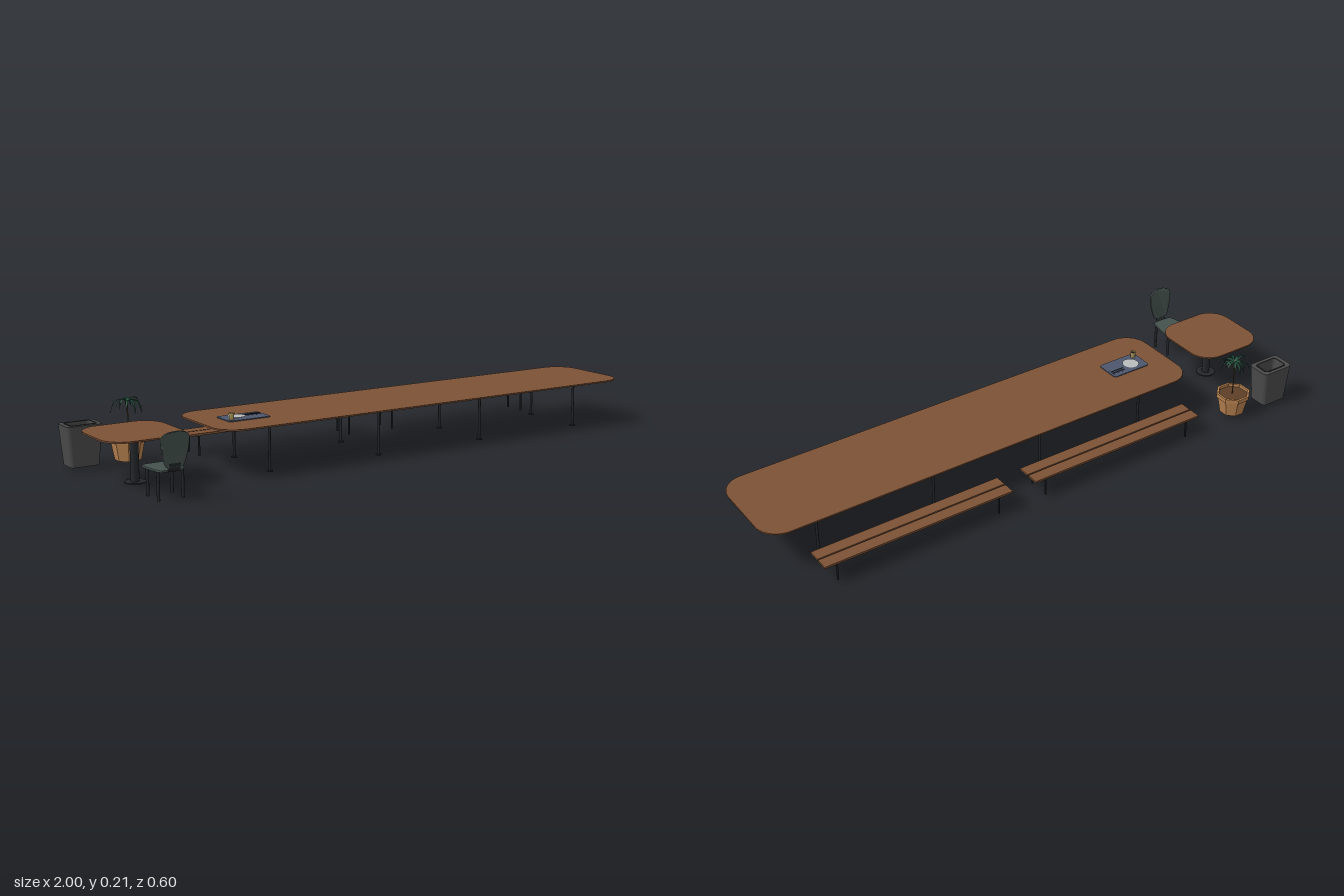
import * as THREE from 'three';

const mat = (color, opts = {}) => {
  const m = new THREE.MeshStandardMaterial({ color, ...opts });
  return m;
};
const wood = mat(0x7d5236);
const metal = mat(0x23272a);
const pad = mat(0x45524e);
const binGrey = mat(0x4a4a4a);
const binDark = mat(0x2a2a2a);
const clay = mat(0xb98350, { flatShading: true, side: THREE.DoubleSide });
const soil = mat(0x5e3f26);
const leafGreen = mat(0x1f4a38, { side: THREE.DoubleSide });
const trayBlue = mat(0x4c566c);
const china = mat(0xb9bcbd);
const mustard = mat(0xb0a060, { side: THREE.DoubleSide });

function add(parent, name, geo, material, x = 0, y = 0, z = 0) {
  const mesh = new THREE.Mesh(geo, material);
  mesh.name = name;
  mesh.position.set(x, y, z);
  parent.add(mesh);
  return mesh;
}
const box = (w, h, d) => new THREE.BoxGeometry(w, h, d);
const rod = (r, h, n = 12, r2 = r) => new THREE.CylinderGeometry(r, r2, h, n);

function roundRect(w, d, r, Type = THREE.Shape) {
  const s = new Type(), a = w / 2 - r, b = d / 2 - r;
  s.absarc(a, b, r, 0, Math.PI / 2);
  s.absarc(-a, b, r, Math.PI / 2, Math.PI);
  s.absarc(-a, -b, r, Math.PI, Math.PI * 1.5);
  s.absarc(a, -b, r, Math.PI * 1.5, Math.PI * 2);
  s.closePath();
  return s;
}

// Horizontal slab from a shape, rising from y = 0
function slab(shape, h, curveSegments = 10) {
  const g = new THREE.ExtrudeGeometry(shape, { depth: h, bevelEnabled: false, curveSegments });
  return g.rotateX(-Math.PI / 2);
}

// Shift or scale every vertex by a rule
function warp(g, rule) {
  const p = g.attributes.position, v = new THREE.Vector3();
  for (let i = 0; i < p.count; i++) {
    rule(v.fromBufferAttribute(p, i));
    p.setXYZ(i, v.x, v.y, v.z);
  }
  g.computeVertexNormals();
  return g;
}

function longTable() {
  const g = new THREE.Group();
  g.name = 'longTable';
  add(g, 'longTableTop', slab(roundRect(1.636, 0.341, 0.08), 0.005), wood, 0.178, 0.155, 0.001);
  for (const x of [-0.45, -0.035, 0.383, 0.805]) {
    for (const z of [-0.114, 0.117]) {
      add(g, 'longTableLeg', rod(0.0045, 0.153), metal, x, 0.0785, z);
      add(g, 'longTableFoot', rod(0.0105, 0.004, 16), metal, x, 0.002, z);
    }
  }
  return g;
}

function smallTable() {
  const g = new THREE.Group();
  g.name = 'smallTable';
  add(g, 'smallTableTop', slab(roundRect(0.27, 0.267, 0.075), 0.005), wood, -0.865, 0.155, 0.004);
  add(g, 'pedestal', rod(0.0135, 0.153, 16), metal, -0.865, 0.0785, 0.01);
  add(g, 'pedestalFoot', rod(0.034, 0.004, 24), metal, -0.865, 0.002, 0.01);
  return g;
}

function bench(x) {
  const g = new THREE.Group();
  g.name = 'bench';
  const zc = -0.239;
  for (const s of [-1, 1]) {
    add(g, 'benchSlat', box(0.68, 0.007, 0.042), wood, 0, 0.072, zc + s * 0.0235);
    const lx = s * 0.294;
    add(g, 'benchCrossbar', box(0.005, 0.005, 0.077), metal, lx, 0.066, zc + 0.004);
    for (const z of [-0.273, -0.199]) add(g, 'benchLeg', box(0.005, 0.066, 0.005), metal, lx, 0.033, z);
  }
  add(g, 'benchBeam', box(0.59, 0.007, 0.005), metal, 0, 0.066, zc);
  g.position.x = x;
  return g;
}

// Shield outline: wide rounded top at +y, narrower foot at y = 0
function shield(w, foot, h) {
  const s = new THREE.Shape();
  s.moveTo(-foot, 0);
  s.lineTo(foot, 0);
  s.bezierCurveTo(foot + 0.012, 0.002, w, h * 0.55, w, h * 0.78);
  s.bezierCurveTo(w, h * 0.95, w * 0.5, h, 0, h);
  s.bezierCurveTo(-w * 0.5, h, -w, h * 0.95, -w, h * 0.78);
  s.bezierCurveTo(-w, h * 0.55, -foot - 0.012, 0.002, -foot, 0);
  return s;
}

function chair() {
  const g = new THREE.Group();
  g.name = 'chair';
  const soft = { depth: 0.004, bevelThickness: 0.0015, bevelSize: 0.0015, bevelSegments: 2, curveSegments: 8 };
  // Seat, wide towards the table
  const seat = new THREE.Shape();
  seat.moveTo(-0.034, 0);
  seat.lineTo(0.034, 0);
  seat.bezierCurveTo(0.042, 0, 0.052, 0.07, 0.052, 0.092);
  seat.bezierCurveTo(0.052, 0.105, 0.045, 0.107, 0, 0.107);
  seat.bezierCurveTo(-0.045, 0.107, -0.052, 0.105, -0.052, 0.092);
  seat.bezierCurveTo(-0.052, 0.07, -0.042, 0, -0.034, 0);
  add(g, 'chairSeat', new THREE.ExtrudeGeometry(seat, soft).rotateX(-Math.PI / 2), pad, 0, 0.0885, 0.27);
  // Backrest, leaning and curling upright at the top
  const back = warp(new THREE.ExtrudeGeometry(shield(0.045, 0.022, 0.109), soft), v => {
    const t = v.y / 0.109;
    v.z += 0.015 * t * (1.7 - 0.7 * t) - 4 * v.x * v.x;
  });
  add(g, 'chairBack', back, pad, 0, 0.103, 0.282);
  // Bent strap joining seat and back
  const strap = new THREE.Shape();
  strap.moveTo(0.262, 0.087);
  strap.lineTo(0.272, 0.087);
  strap.quadraticCurveTo(0.284, 0.09, 0.288, 0.115);
  strap.lineTo(0.284, 0.115);
  strap.quadraticCurveTo(0.281, 0.093, 0.272, 0.09);
  strap.lineTo(0.262, 0.09);
  const strapGeo = new THREE.ExtrudeGeometry(strap, { depth: 0.036, bevelEnabled: false });
  add(g, 'chairStrap', strapGeo.rotateY(-Math.PI / 2), metal, 0.018, 0, 0);
  for (const x of [-0.04, 0.04]) {
    for (const z of [0.1815, 0.2525]) add(g, 'chairLeg', rod(0.005, 0.088), metal, x, 0.044, z);
    add(g, 'chairRail', box(0.006, 0.004, 0.075), metal, x * 0.95, 0.086, 0.217);
  }
  g.position.x = -0.865;
  return g;
}

function bin() {
  const g = new THREE.Group();
  g.name = 'bin';
  const taper = v => {
    const t = v.y / 0.134;
    v.x *= 0.8 + 0.2 * t;
    v.z *= 0.86 + 0.14 * t;
  };
  const wall = roundRect(0.123, 0.085, 0.014);
  wall.holes.push(roundRect(0.084, 0.054, 0.01, THREE.Path));
  add(g, 'binShell', warp(slab(wall, 0.134, 5), taper), binGrey);
  add(g, 'binFloor', warp(slab(roundRect(0.11, 0.075, 0.012), 0.012, 5), taper), binDark, 0, 0.001, 0);
  const rim = roundRect(0.094, 0.062, 0.012);
  rim.holes.push(roundRect(0.084, 0.054, 0.01, THREE.Path));
  add(g, 'binRim', slab(rim, 0.002, 5), binDark, 0, 0.1335, 0);
  g.position.set(-0.9245, 0.011, -0.258);
  return g;
}

// Arching leaf: a ribbon folded along its midrib
function leafGeometry(reach, drop) {
  const n = 7, pos = [], idx = [];
  for (let i = 0; i <= n; i++) {
    const t = i / n, w = 0.0045 * Math.sin(Math.PI * (0.12 + 0.88 * t));
    const x = reach * Math.sin(t * 1.5), y = 0.05 * t - (0.05 + drop) * t * t;
    pos.push(x, y - 0.001, -w, x, y, 0, x, y - 0.001, w);
    if (i < n) for (const k of [0, 1]) {
      const a = i * 3 + k;
      idx.push(a, a + 1, a + 3, a + 1, a + 4, a + 3);
    }
  }
  const g = new THREE.BufferGeometry();
  g.setAttribute('position', new THREE.Float32BufferAttribute(pos, 3));
  g.setIndex(idx);
  g.computeVertexNormals();
  return g;
}

function plant() {
  const g = new THREE.Group();
  g.name = 'pottedPlant';
  const profile = [[0, 0.01], [0.043, 0.01], [0.055, 0.07], [0.059, 0.07], [0.06, 0.085], [0.052, 0.085], [0.051, 0.074]]
    .map(p => new THREE.Vector2(...p));
  add(g, 'pot', new THREE.LatheGeometry(profile, 8, Math.PI / 8), clay);
  add(g, 'soil', rod(0.052, 0.004, 8).rotateY(Math.PI / 8), soil, 0, 0.074, 0);
  const stem = new THREE.CatmullRomCurve3([[0, 0.074, 0.004], [0.002, 0.13, 0.002], [0, 0.204, 0.006]]
    .map(p => new THREE.Vector3(...p)));
  add(g, 'stem', new THREE.TubeGeometry(stem, 8, 0.0018, 6), soil);
  for (let i = 0; i < 13; i++) {
    const leaf = add(g, 'leaf', leafGeometry(0.04 + 0.009 * (i * 5 % 3), 0.012 + 0.013 * (i * 3 % 4)), leafGreen, 0, 0.203, 0.006);
    leaf.rotation.y = i * 2.4;
  }
  g.position.set(-0.767, 0, -0.247);
  return g;
}

function servingTray() {
  const g = new THREE.Group();
  g.name = 'servingTray';
  add(g, 'tray', slab(roundRect(0.15, 0.09, 0.01), 0.003), trayBlue, 0, 0, 0.01);
  add(g, 'plate', rod(0.029, 0.003, 24, 0.02), china, -0.022, 0.0045, 0.003);
  const cup = [[0, 0.001], [0.008, 0.001], [0.009, 0.023], [0.0078, 0.023], [0.007, 0.004], [0, 0.004]]
    .map(p => new THREE.Vector2(...p));
  add(g, 'cup', new THREE.LatheGeometry(cup, 16), mustard, -0.057, 0.002, 0.035);
  add(g, 'drink', rod(0.0076, 0.001, 16), metal, -0.057, 0.02, 0.035);
  for (const z of [-0.012, -0.002]) add(g, 'cutlery', box(0.05, 0.002, 0.003), metal, 0.042, 0.004, z);
  add(g, 'napkin', box(0.05, 0.001, 0.026), china, 0.042, 0.0028, -0.007).material = trayBlue;
  g.position.set(-0.482, 0.16, 0);
  return g;
}

export function createModel() {
  const model = new THREE.Group();
  model.name = 'diningArea';
  model.add(longTable(), smallTable(), bench(-0.24), bench(0.53), chair(), bin(), plant(), servingTray());
  return model;
}
